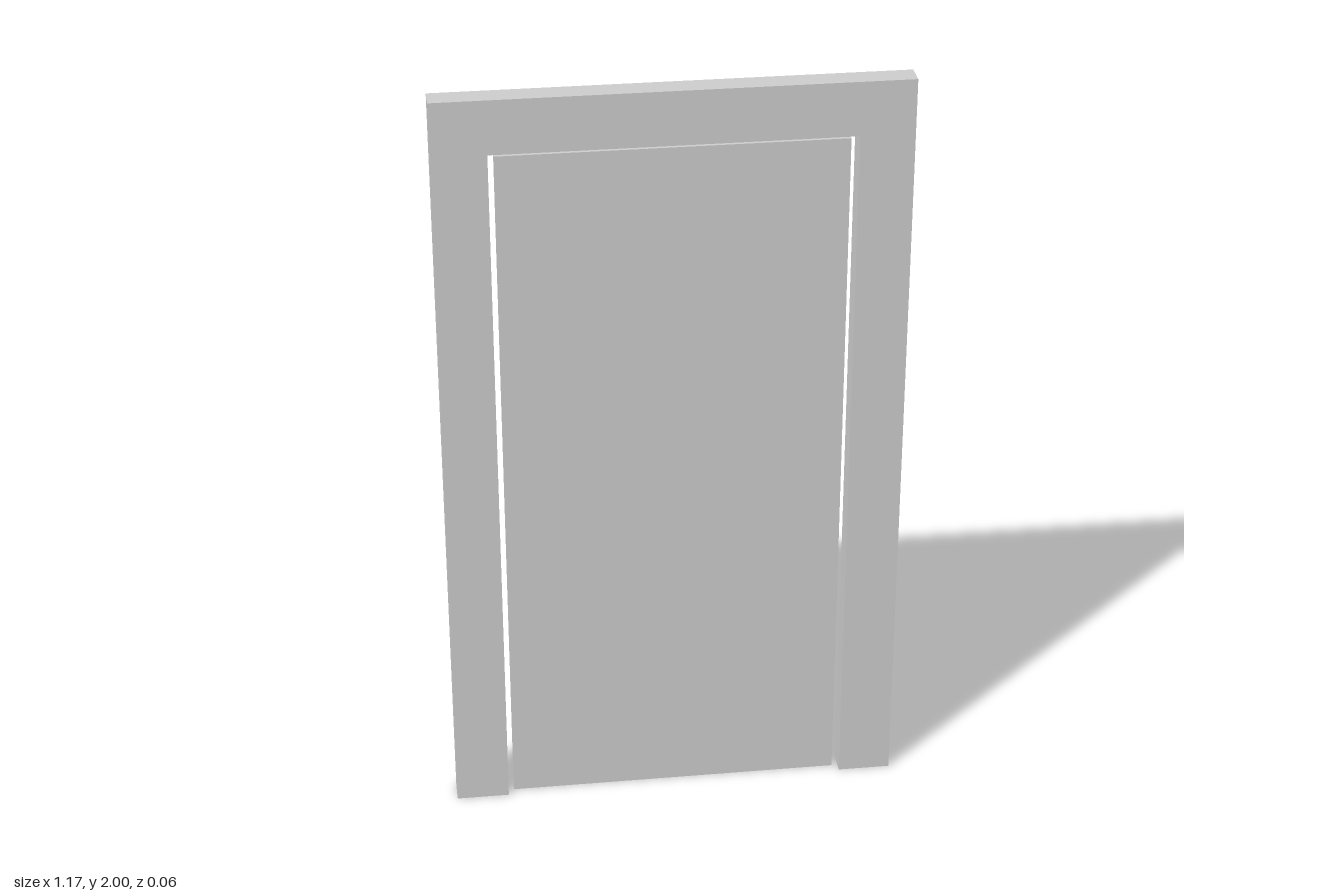
import * as THREE from 'three';

const W = 0.586, H = 2, D = 0.062; // frame half width, height, depth
const OPEN_W = 0.449, OPEN_H = 1.86; // opening half width and height
const LEAF_W = 0.433, LEAF_H = 1.846, LEAF_D = 0.016;

export function createModel() {
  const group = new THREE.Group();
  const material = new THREE.MeshStandardMaterial({ color: 0xcccccc, flatShading: true });

  // Door frame: one arch-shaped outline, two jambs joined by a lintel
  const outline = new THREE.Shape([
    [-W, 0], [-OPEN_W, 0], [-OPEN_W, OPEN_H], [OPEN_W, OPEN_H],
    [OPEN_W, 0], [W, 0], [W, H], [-W, H],
  ].map(([x, y]) => new THREE.Vector2(x, y)));
  const frameGeometry = new THREE.ExtrudeGeometry(outline, { depth: D, bevelEnabled: false });
  frameGeometry.translate(0, 0, -D / 2);
  const frame = new THREE.Mesh(frameGeometry, material);
  frame.name = 'doorFrame';
  group.add(frame);

  // Thin door leaf, centred in the frame depth with a small gap around it
  const leaf = new THREE.Mesh(new THREE.BoxGeometry(LEAF_W * 2, LEAF_H, LEAF_D), material);
  leaf.name = 'doorLeaf';
  leaf.position.y = LEAF_H / 2;
  group.add(leaf);

  return group;
}
